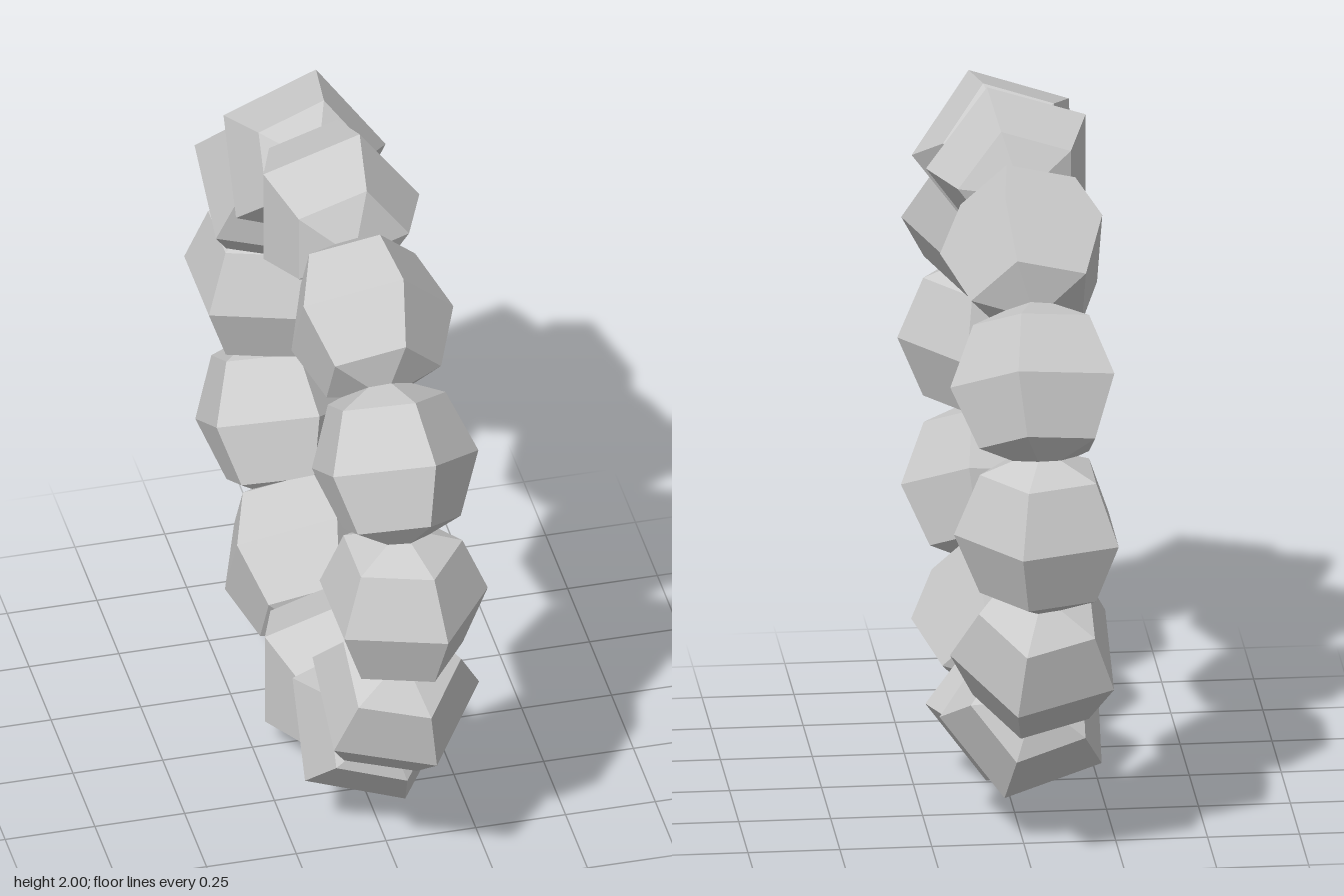
import * as THREE from 'three';

const BEADS = 12;
const RING_RADIUS = 0.772;
const BEAD_RADIUS = 0.24;

export function createModel() {
  const model = new THREE.Group();
  model.name = 'beadRing';
  const material = new THREE.MeshStandardMaterial({ color: 0xcccccc, flatShading: true });

  // Five-sided bead: poles along the ring's tangent, one corner pointing to +x
  const beadGeometry = new THREE.SphereGeometry(BEAD_RADIUS, 5, 4);
  beadGeometry.rotateY(Math.PI);
  beadGeometry.rotateX(Math.PI / 2);
  beadGeometry.translate(-0.023, RING_RADIUS, 0);

  // Beads threaded around a circle in the y-z plane, turned slightly off the vertical
  const offset = THREE.MathUtils.degToRad(0.6);
  for (let i = 0; i < BEADS; i++) {
    const bead = new THREE.Mesh(beadGeometry, material);
    bead.name = `bead${i + 1}`;
    bead.position.y = 1;
    bead.rotation.x = -(i / BEADS) * Math.PI * 2 - offset;
    model.add(bead);
  }
  return model;
}
